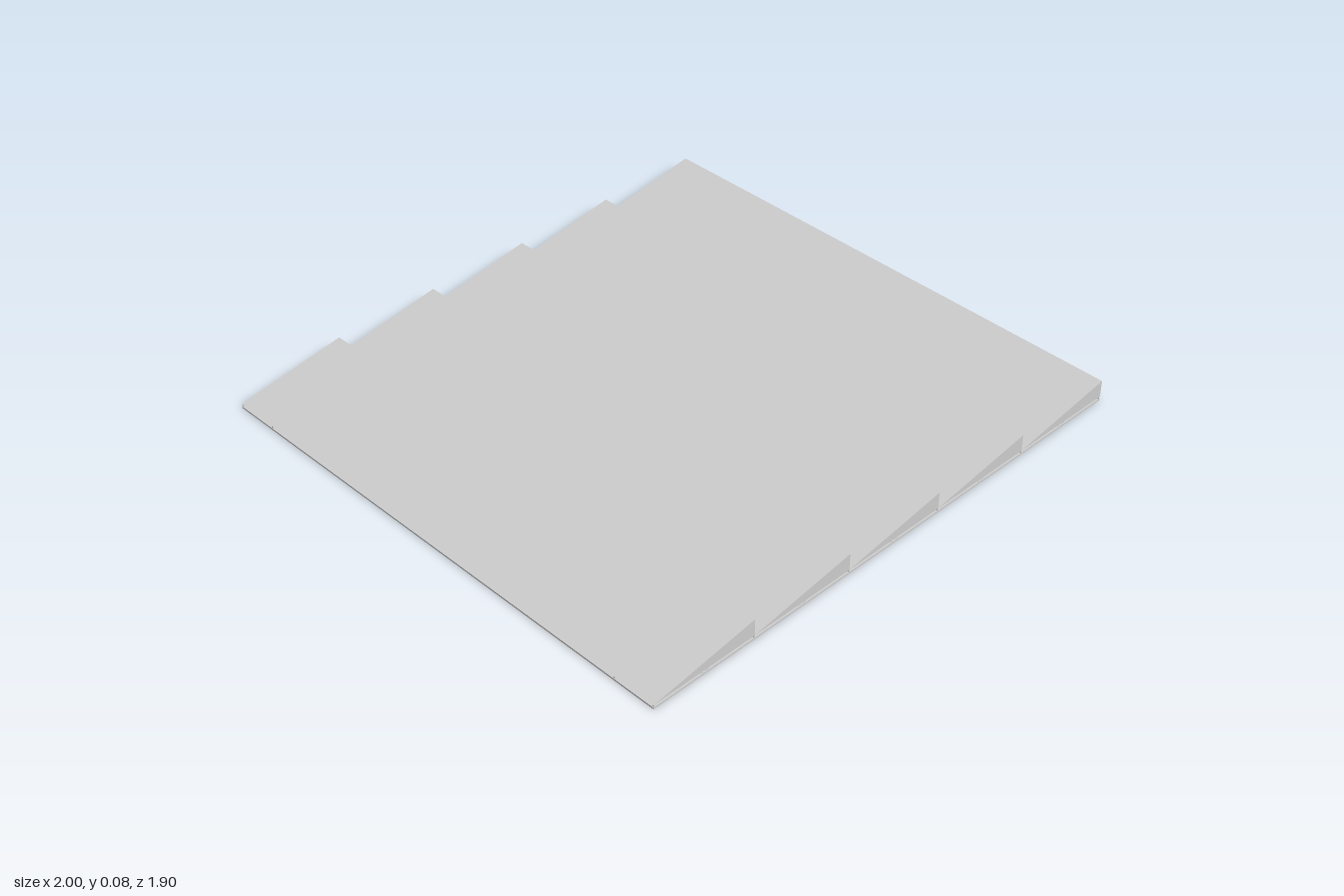
import * as THREE from 'three';

const TEETH = 5, PITCH = 0.4, HALF_Z = 0.95, LOW = 0.016, HIGH = 0.078;
const BAR = 0.007, BAR_Y = 0.0035, INNER_Z = 0.79;

export function createModel() {
  const model = new THREE.Group();
  model.name = 'sawtoothRoof';
  const sheet = new THREE.MeshStandardMaterial({ color: 0xcccccc, flatShading: true, side: THREE.DoubleSide });
  const steel = new THREE.MeshStandardMaterial({ color: 0xcccccc, flatShading: true });

  const add = (parent, geometry, material, name) => {
    const mesh = new THREE.Mesh(geometry, material);
    mesh.name = name;
    parent.add(mesh);
    return mesh;
  };

  // Square bar running between two points
  const bar = (parent, name, from, to, size = BAR) => {
    const a = new THREE.Vector3(...from), b = new THREE.Vector3(...to);
    const mesh = add(parent, new THREE.BoxGeometry(size, size, a.distanceTo(b)), steel, name);
    mesh.position.copy(a).add(b).multiplyScalar(0.5);
    mesh.lookAt(b);
  };

  // Hollow roof bays: sloping sheet, upright riser and two triangular gables
  const rise = HIGH - LOW;
  const gable = new THREE.Shape([
    new THREE.Vector2(0, LOW), new THREE.Vector2(PITCH, LOW), new THREE.Vector2(PITCH, HIGH),
  ]);
  for (let i = 0; i < TEETH; i++) {
    const bay = new THREE.Group();
    bay.name = 'roofBay' + (i + 1);
    bay.position.x = -1 + i * PITCH;
    model.add(bay);

    const slope = add(bay, new THREE.PlaneGeometry(Math.hypot(PITCH, rise), 2 * HALF_Z).rotateX(-Math.PI / 2), sheet, 'slope');
    slope.rotation.z = Math.atan2(rise, PITCH);
    slope.position.set(PITCH / 2, (LOW + HIGH) / 2, 0);

    const riser = add(bay, new THREE.PlaneGeometry(2 * HALF_Z, rise).rotateY(Math.PI / 2), sheet, 'riser');
    riser.position.set(PITCH, (LOW + HIGH) / 2, 0);

    add(bay, new THREE.ShapeGeometry(gable), sheet, 'frontGable').position.z = HALF_Z;
    const back = add(bay, new THREE.ShapeGeometry(gable), sheet, 'backGable');
    back.scale.z = -1;
    back.position.z = -HALF_Z;
  }

  // Support frame: edge rails, inner rails, plan bracing and short webs
  const frame = new THREE.Group();
  frame.name = 'supportFrame';
  model.add(frame);
  const edgeX = 1 - BAR / 2, edgeZ = HALF_Z - BAR / 2;
  for (const s of [-1, 1]) {
    bar(frame, 'sideRail', [s * edgeX, BAR_Y, -edgeZ], [s * edgeX, BAR_Y, edgeZ]);
    bar(frame, 'endRail', [-1, BAR_Y, s * edgeZ], [1, BAR_Y, s * edgeZ]);
    bar(frame, 'innerRail', [-1, BAR_Y, s * INNER_Z], [1, BAR_Y, s * INNER_Z]);

    for (let i = 0; i < TEETH; i++) {
      const x0 = -1 + i * PITCH, mid = x0 + PITCH / 2, x1 = x0 + PITCH;
      bar(frame, 'planBrace', [x0, BAR_Y, s * edgeZ], [mid, BAR_Y, s * INNER_Z], 0.005);
      bar(frame, 'planBrace', [mid, BAR_Y, s * INNER_Z], [x1, BAR_Y, s * edgeZ], 0.005);
      bar(frame, 'web', [mid, BAR_Y, s * edgeZ], [mid + 0.02, LOW, s * edgeZ], 0.003);
      bar(frame, 'web', [mid, BAR_Y, s * edgeZ], [mid - 0.02, LOW, s * edgeZ], 0.003);
    }
    for (const x of [-edgeX, -0.6, -0.2, 0.2, 0.6, edgeX]) {
      bar(frame, 'post', [x, BAR_Y, s * edgeZ], [x, LOW, s * edgeZ], 0.004);
      bar(frame, 'post', [x, BAR_Y, s * INNER_Z], [x, LOW, s * INNER_Z], 0.004);
    }
  }
  return model;
}
